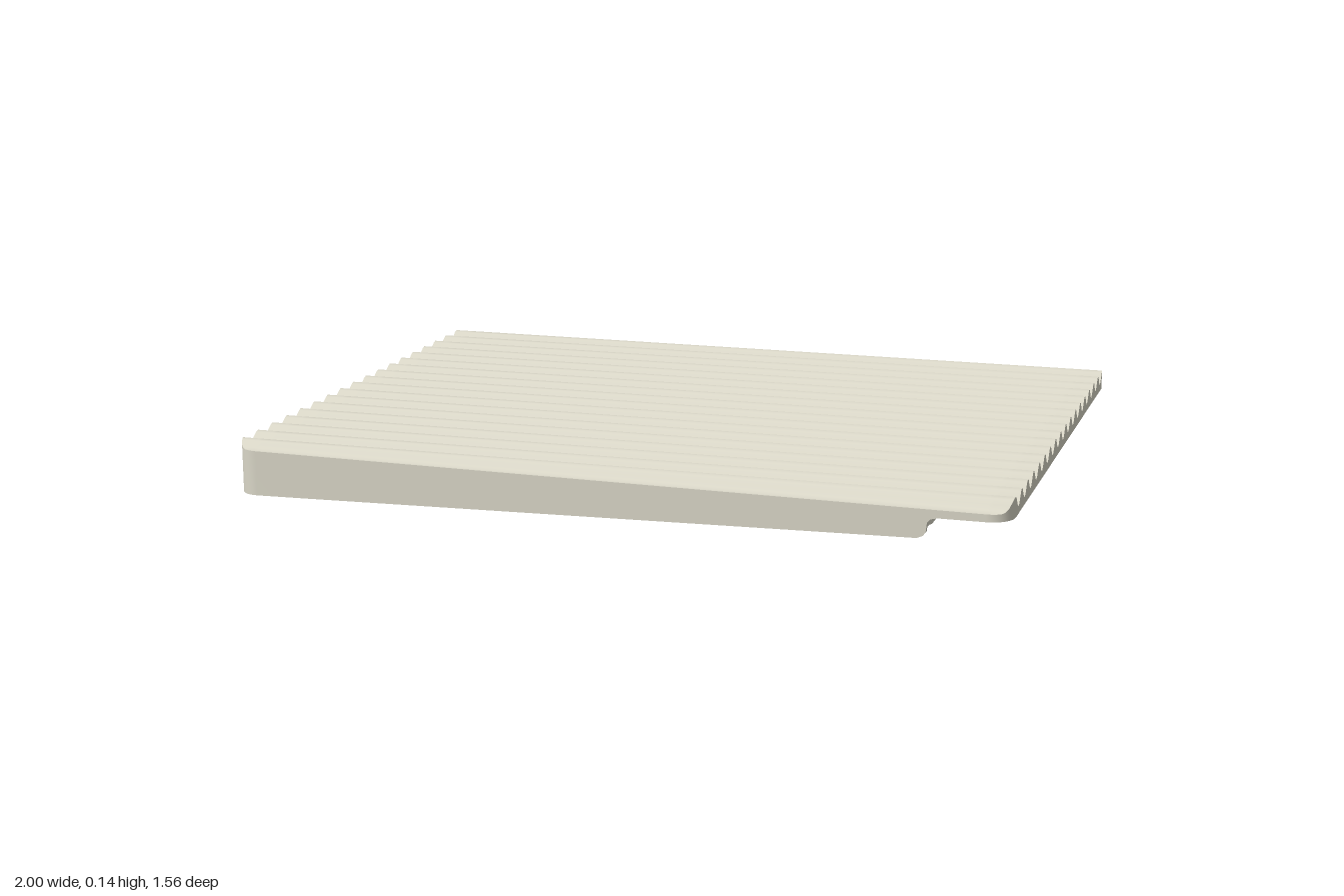
import * as THREE from 'three';

const HX = 1, HZ = 0.78, R = 0.06, WALL = 0.014, SKIN = 0.01;
const RIDGES = 18, PITCH = 0.0856, STEPS = 8;

// Height of the corrugated deck: grooves get deeper towards +x
function deckY(x, z) {
  const crest = 0.1375 - 0.0015 * (x + 1);
  const depth = 0.02 + 0.007 * (x + 1);
  const limit = RIDGES / 2 * PITCH;
  const zc = THREE.MathUtils.clamp(z, -limit, limit);
  const wave = 0.5 - 0.5 * Math.cos((2 * Math.PI * (zc - PITCH / 2)) / PITCH);
  return crest - depth * wave;
}

// Piecewise linear lookup through [position, value] pairs
function lerpTable(table, t) {
  for (let i = 1; i < table.length; i++) {
    const [a, va] = table[i - 1], [b, vb] = table[i];
    if (t <= b) return va + (vb - va) * THREE.MathUtils.clamp((t - a) / (b - a), 0, 1);
  }
  return table[table.length - 1][1];
}

const sideEdge = [[-1, 0], [-0.8, 0.003], [0.775, 0.03], [0.79, 0.036], [0.797, 0.045], [0.8, 0.07], [0.807, 0.078], [0.825, 0.082], [1, 0.082]];
const endEdge = [[0.63, 0.036], [0.65, 0.031], [0.664, 0.006], [0.675, 0]];

// Lower edge of the skirt: tapered sides, stepped lip, notched end
function skirtBottom(x, z) {
  if (x < -HX + 0.001) return lerpTable(endEdge, Math.abs(z));
  return lerpTable(sideEdge, x);
}

// Smooth surface through a list of equally long point rows
function surface(rows) {
  const n = rows[0].length, index = [];
  for (let i = 0; i < rows.length - 1; i++) {
    for (let j = 0; j < n - 1; j++) {
      const a = i * n + j, c = a + n;
      index.push(a, a + 1, c, a + 1, c + 1, c);
    }
  }
  const g = new THREE.BufferGeometry().setFromPoints(rows.flat());
  g.setIndex(index);
  g.computeVertexNormals();
  return g;
}

function ridgeStations() {
  const out = [];
  const half = RIDGES * STEPS / 2;
  for (let i = -half; i <= half; i++) out.push(i * PITCH / STEPS);
  return [-HZ, ...out, HZ];
}

// Deck rows across x, trimmed to the rounded corners
function deckRows(drop) {
  const xs = [];
  for (let i = 0; i <= 8; i++) xs.push(HX - R + R * Math.sin(i * Math.PI / 16));
  const columns = [...xs.map(x => -x).reverse(), ...xs];
  return columns.map(x => {
    const d = Math.max(0, Math.abs(x) - (HX - R));
    const zMax = HZ - R + Math.sqrt(Math.max(0, R * R - d * d));
    return ridgeStations().map(s => {
      const z = THREE.MathUtils.clamp(s, -zMax, zMax);
      return new THREE.Vector3(x, deckY(x, z) - drop, z);
    });
  });
}

// Rounded rectangle outline with outward directions
function outline() {
  const pts = [];
  const ends = [...ridgeStations(), ...endEdge.flatMap(([z]) => [z, -z])]
    .filter(z => Math.abs(z) < HZ - R).sort((a, b) => a - b);
  const sides = sideEdge.map(([x]) => x).filter(x => Math.abs(x) < HX - R).sort((a, b) => b - a);
  const arc = (cx, cz, start) => {
    for (let i = 0; i <= 8; i++) {
      const a = start + i * Math.PI / 16, nx = Math.cos(a), nz = Math.sin(a);
      pts.push({ x: cx + R * nx, z: cz + R * nz, nx, nz });
    }
  };
  const cx = HX - R, cz = HZ - R;
  ends.forEach(z => pts.push({ x: HX, z, nx: 1, nz: 0 }));
  arc(cx, cz, 0);
  sides.forEach(x => pts.push({ x, z: HZ, nx: 0, nz: 1 }));
  arc(-cx, cz, Math.PI / 2);
  [...ends].reverse().forEach(z => pts.push({ x: -HX, z, nx: -1, nz: 0 }));
  arc(-cx, -cz, Math.PI);
  [...sides].reverse().forEach(x => pts.push({ x, z: -HZ, nx: 0, nz: -1 }));
  arc(cx, -cz, Math.PI * 1.5);
  pts.push(pts[0]);
  return pts;
}

// Thin upright plate from a (z, y) profile
function plate(points, thickness) {
  const shape = new THREE.Shape(points.map(([z, y]) => new THREE.Vector2(z, y)));
  return new THREE.ExtrudeGeometry(shape, { depth: thickness, bevelEnabled: false }).rotateY(-Math.PI / 2);
}

export function createModel() {
  const group = new THREE.Group();
  const ivory = new THREE.MeshStandardMaterial({ color: 0xd9d6c7 });
  ivory.name = 'ivory plastic';
  const add = (name, geometry, x = 0) => {
    const mesh = new THREE.Mesh(geometry, ivory);
    mesh.name = name;
    mesh.position.x = x;
    group.add(mesh);
  };

  // Corrugated deck, top and underside
  add('deckTop', surface(deckRows(0)));
  add('deckUnderside', surface(deckRows(SKIN).reverse()));

  // Skirt around the rim: outer face, lower edge, inner face
  const loop = outline();
  const ring = (inset, height) => loop.map(p =>
    new THREE.Vector3(p.x - p.nx * inset, height(p), p.z - p.nz * inset));
  const top = p => deckY(p.x, p.z);
  const innerTop = p => deckY(p.x - p.nx * WALL, p.z - p.nz * WALL) - SKIN / 2;
  const bottom = p => skirtBottom(p.x, p.z);
  add('skirtOuter', surface([ring(0, top), ring(0, bottom)]));
  add('skirtEdge', surface([ring(0, bottom), ring(WALL, bottom)]));
  add('skirtInner', surface([ring(WALL, bottom), ring(WALL, innerTop)]));

  // Cross brackets by the lip and small gussets, mirrored front to back
  const bracket = [[0.775, 0.1], [0.775, 0.045], [0.7, 0.042], [0.67, 0.036], [0.585, 0.036],
    [0.565, 0.026], [0.43, 0.026], [0.41, 0.031], [0.35, 0.08], [0.33, 0.1]];
  const gusset = [[0.775, 0.11], [0.775, 0.03], [0.745, 0.035], [0.72, 0.06], [0.71, 0.11]];
  for (const side of [1, -1]) {
    const mirror = pts => pts.map(([z, y]) => [z * side, y]);
    const tag = side > 0 ? 'front' : 'back';
    add(tag + 'Bracket', plate(mirror(bracket), 0.012), 0.79);
    add(tag + 'Gusset', plate(mirror(gusset), 0.012), -0.45);
  }
  return group;
}
